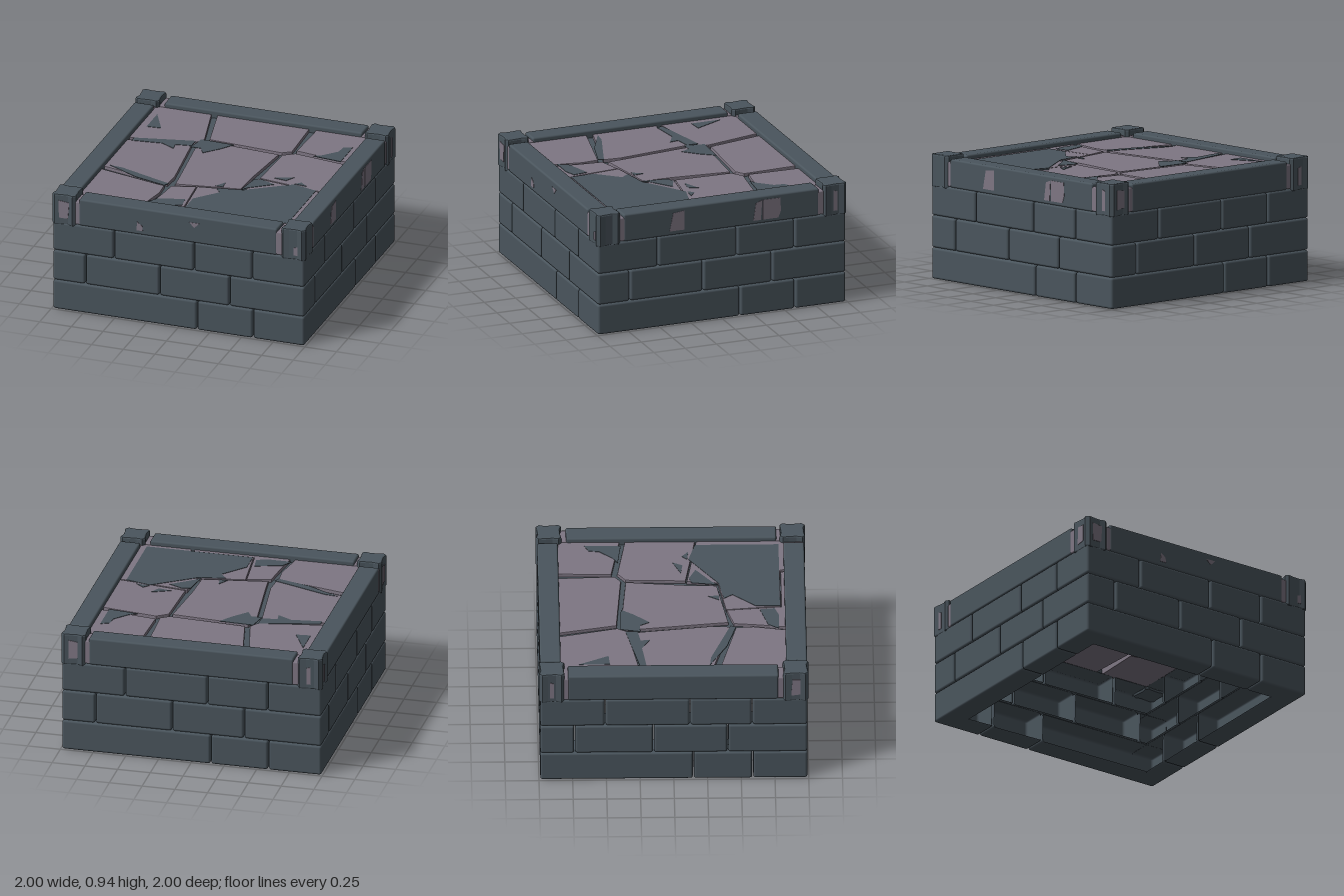
import * as THREE from 'three';
import { RoundedBoxGeometry } from 'three/addons/geometries/RoundedBoxGeometry.js';

const slate = new THREE.MeshStandardMaterial({ color: 0x4a555d, side: THREE.DoubleSide });
slate.name = 'slate';
const mauve = new THREE.MeshStandardMaterial({ color: 0x7e7683 });
mauve.name = 'mauve stone';

function add(parent, name, geometry, material, x = 0, y = 0, z = 0) {
  const mesh = new THREE.Mesh(geometry, material);
  mesh.name = name;
  mesh.position.set(x, y, z);
  parent.add(mesh);
  return mesh;
}

// Polygon given as [x, z] pairs, raised from y = 0 to the given height
function prism(points, height, bevel = 0) {
  const shape = new THREE.Shape(points.map(([x, z]) => new THREE.Vector2(x, -z)));
  const geometry = new THREE.ExtrudeGeometry(shape, {
    depth: height - 2 * bevel, bevelEnabled: bevel > 0, bevelSize: bevel,
    bevelThickness: bevel, bevelOffset: -bevel, bevelSegments: 2,
  });
  geometry.translate(0, 0, bevel);
  return geometry.rotateX(-Math.PI / 2);
}

// Rounded brick whose inner side is left open
function brickShell(w, h, d) {
  const source = new RoundedBoxGeometry(w, h, d, 2, 0.018);
  const p = source.attributes.position, n = source.attributes.normal;
  const pos = [], nor = [];
  for (let i = 0; i < p.count; i += 3) {
    const z = (p.getZ(i) + p.getZ(i + 1) + p.getZ(i + 2)) / 3;
    if (z < -d / 2 + 0.004) continue;
    for (let j = i; j < i + 3; j++) {
      pos.push(p.getX(j), p.getY(j), p.getZ(j));
      nor.push(n.getX(j), n.getY(j), n.getZ(j));
    }
  }
  const g = new THREE.BufferGeometry();
  g.setAttribute('position', new THREE.Float32BufferAttribute(pos, 3));
  g.setAttribute('normal', new THREE.Float32BufferAttribute(nor, 3));
  return g;
}

// Bottom, top and joints of each course, along one wall
const courses = [
  { y0: 0, y1: 0.234, joints: [-0.99, 0.145, 0.585, 0.99] },
  { y0: 0.235, y1: 0.476, joints: [-0.99, -0.735, -0.15, 0.4, 0.99] },
  { y0: 0.477, y1: 0.709, joints: [-0.99, -0.51, 0.12, 0.58, 0.99] },
];

function wall() {
  const group = new THREE.Group();
  for (const { y0, y1, joints } of courses) {
    for (let i = 0; i + 1 < joints.length; i++) {
      const a = joints[i] + (i ? 0.004 : 0);
      const b = joints[i + 1] - (i + 2 < joints.length ? 0.004 : 0);
      add(group, 'brick', brickShell(b - a, y1 - y0, 0.19), slate, (a + b) / 2, (y0 + y1) / 2, 0.895);
    }
  }
  // Coping beam with pale broken ends
  add(group, 'copingBeam', new RoundedBoxGeometry(1.56, 0.213, 0.155, 2, 0.014), slate, -0.005, 0.8135, 0.913);
  for (const s of [-1, 1]) {
    add(group, 'copingEnd', new RoundedBoxGeometry(0.06, 0.185, 0.15, 1, 0.01), mauve, s * 0.787, 0.803, 0.912);
  }
  return group;
}

// Chipped square outline of the corner posts
const postOutline = [
  [-0.075, -0.094], [-0.03, -0.085], [0.02, -0.09], [0.075, -0.094], [0.095, -0.07], [0.082, -0.03],
  [0.088, 0.03], [0.095, 0.07], [0.07, 0.095], [0.03, 0.084], [-0.03, 0.088], [-0.075, 0.095],
  [-0.095, 0.075], [-0.084, 0.03], [-0.088, -0.03], [-0.095, -0.07],
];

// Floor slabs
const slabs = [
  [[-0.9, -0.9], [-0.41, -0.9], [-0.4, -0.83], [-0.3, -0.41], [-0.34, -0.34], [-0.9, -0.24]],
  [[-0.37, -0.9], [0.365, -0.9], [0.385, -0.42], [0.32, -0.375], [-0.265, -0.415]],
  [[0.425, -0.9], [0.9, -0.9], [0.9, -0.37], [0.41, -0.445]],
  [[-0.9, -0.2], [-0.36, -0.3], [-0.345, -0.2], [-0.28, 0.3], [-0.29, 0.43], [-0.9, 0.28]],
  [[-0.32, -0.33], [-0.28, -0.385], [0.31, -0.34], [0.265, 0.1], [0.255, 0.335], [-0.235, 0.415], [-0.25, 0.28], [-0.31, -0.2]],
  [[0.335, -0.34], [0.42, -0.4], [0.9, -0.33], [0.9, 0.19], [0.32, 0.105]],
  [[0.31, 0.113], [0.9, 0.198], [0.9, 0.9], [0.48, 0.9], [0.45, 0.805], [-0.025, 0.805], [-0.065, 0.4], [0.29, 0.345]],
  [[-0.9, 0.33], [-0.3, 0.47], [-0.29, 0.6], [-0.345, 0.9], [-0.9, 0.9]],
  [[-0.25, 0.455], [-0.07, 0.405], [-0.03, 0.81], [0.43, 0.81], [0.45, 0.9], [-0.305, 0.9], [-0.265, 0.6]],
];

// Dark worn areas on the floor
const floorStains = [
  [[0.28, 0.35], [0.6, 0.13], [0.79, 0.18], [0.79, 0.8], [-0.02, 0.8], [-0.02, 0.62], [0.13, 0.45], [0.08, 0.385]],
  [[-0.78, -0.7], [-0.67, -0.48], [-0.78, -0.47]],
  [[0.785, -0.64], [0.785, -0.37], [0.56, -0.395], [0.62, -0.43], [0.71, -0.53], [0.72, -0.61]],
  [[-0.32, -0.39], [-0.06, -0.38], [-0.13, -0.28], [-0.23, -0.17], [-0.27, -0.24], [-0.35, -0.24]],
  [[-0.8, -0.25], [-0.35, -0.35], [-0.35, -0.26], [-0.47, -0.24], [-0.46, -0.17], [-0.57, -0.23], [-0.8, -0.2]],
  [[-0.27, 0.71], [-0.07, 0.65], [-0.055, 0.76], [-0.14, 0.79], [-0.32, 0.79]],
  [[0.42, 0.07], [0.56, 0.01], [0.52, 0.085]],
  [[0.6, 0.12], [0.64, 0.08], [0.7, 0.13]],
  [[0.26, 0.35], [0.29, 0.15], [0.35, 0.13], [0.46, 0.18], [0.3, 0.3]],
  [[-0.8, 0.27], [-0.7, 0.28], [-0.45, 0.37], [-0.28, 0.43], [-0.3, 0.47], [-0.55, 0.4]],
  [[0.06, 0.35], [0.11, 0.27], [0.12, 0.35]],
];

// Pale chips on an outward face: wall angle, distance, outline as [along, height]
const front = 0, right = Math.PI / 2, back = Math.PI, left = -Math.PI / 2;
const chips = [
  [front, 0.991, [[-0.33, 0.74], [-0.28, 0.74], [-0.285, 0.78], [-0.325, 0.81]]],
  [front, 0.991, [[0.125, 0.83], [0.165, 0.87], [0.085, 0.87]]],
  [right, 0.991, [[-0.42, 0.74], [-0.3, 0.74], [-0.3, 0.89], [-0.39, 0.88]]],
  [right, 0.991, [[0.25, 0.735], [0.31, 0.735], [0.32, 0.89], [0.27, 0.87]]],
  [right, 0.991, [[0.325, 0.735], [0.45, 0.735], [0.47, 0.79], [0.465, 0.89], [0.325, 0.89]]],
  [front, 0.994, [[-0.94, 0.75], [-0.87, 0.75], [-0.86, 0.88], [-0.945, 0.89]]],
  [front, 0.994, [[0.91, 0.73], [0.94, 0.73], [0.94, 0.8], [0.91, 0.79]]],
  [right, 0.994, [[0.89, 0.73], [0.92, 0.73], [0.92, 0.88], [0.89, 0.89]]],
  [back, 0.994, [[-0.94, 0.74], [-0.87, 0.75], [-0.87, 0.88], [-0.94, 0.89]]],
  [back, 0.994, [[0.88, 0.73], [0.91, 0.73], [0.91, 0.87], [0.88, 0.86]]],
  [left, 0.994, [[0.87, 0.74], [0.94, 0.75], [0.94, 0.88], [0.88, 0.88]]],
  [left, 0.994, [[-0.92, 0.73], [-0.89, 0.73], [-0.89, 0.86], [-0.92, 0.87]]],
];

export function createModel() {
  const model = new THREE.Group();
  model.name = 'stonePlatform';

  // Four identical walls turned about the centre
  for (let i = 0; i < 4; i++) {
    const side = wall();
    side.name = ['frontWall', 'rightWall', 'backWall', 'leftWall'][i];
    side.rotation.y = i * Math.PI / 2;
    model.add(side);
  }

  // Corner posts
  for (let i = 0; i < 4; i++) {
    const a = Math.PI / 4 + i * Math.PI / 2, r = 0.904 * Math.SQRT2;
    const post = add(model, 'cornerPost', prism(postOutline, 0.25, 0.012), slate, r * Math.sin(a), 0.69, r * Math.cos(a));
    post.rotation.y = i * Math.PI / 2;
  }

  // Paved floor
  const floor = new THREE.Group();
  floor.name = 'floor';
  model.add(floor);
  add(floor, 'grout', new THREE.BoxGeometry(1.72, 0.05, 1.72), slate, 0, 0.835, 0);
  for (const s of slabs) add(floor, 'slab', prism(s, 0.175, 0.006), mauve, 0, 0.71, 0);
  for (const s of floorStains) add(floor, 'floorStain', prism(s, 0.005), slate, 0, 0.883, 0);

  // Chips on the coping and posts
  for (const [angle, distance, outline] of chips) {
    const shape = new THREE.Shape(outline.map(([x, y]) => new THREE.Vector2(x, y)));
    const geometry = new THREE.ExtrudeGeometry(shape, { depth: 0.004, bevelEnabled: false });
    geometry.translate(0, 0, distance - 0.002);
    add(model, 'paleChip', geometry, mauve).rotation.y = angle;
  }
  return model;
}
